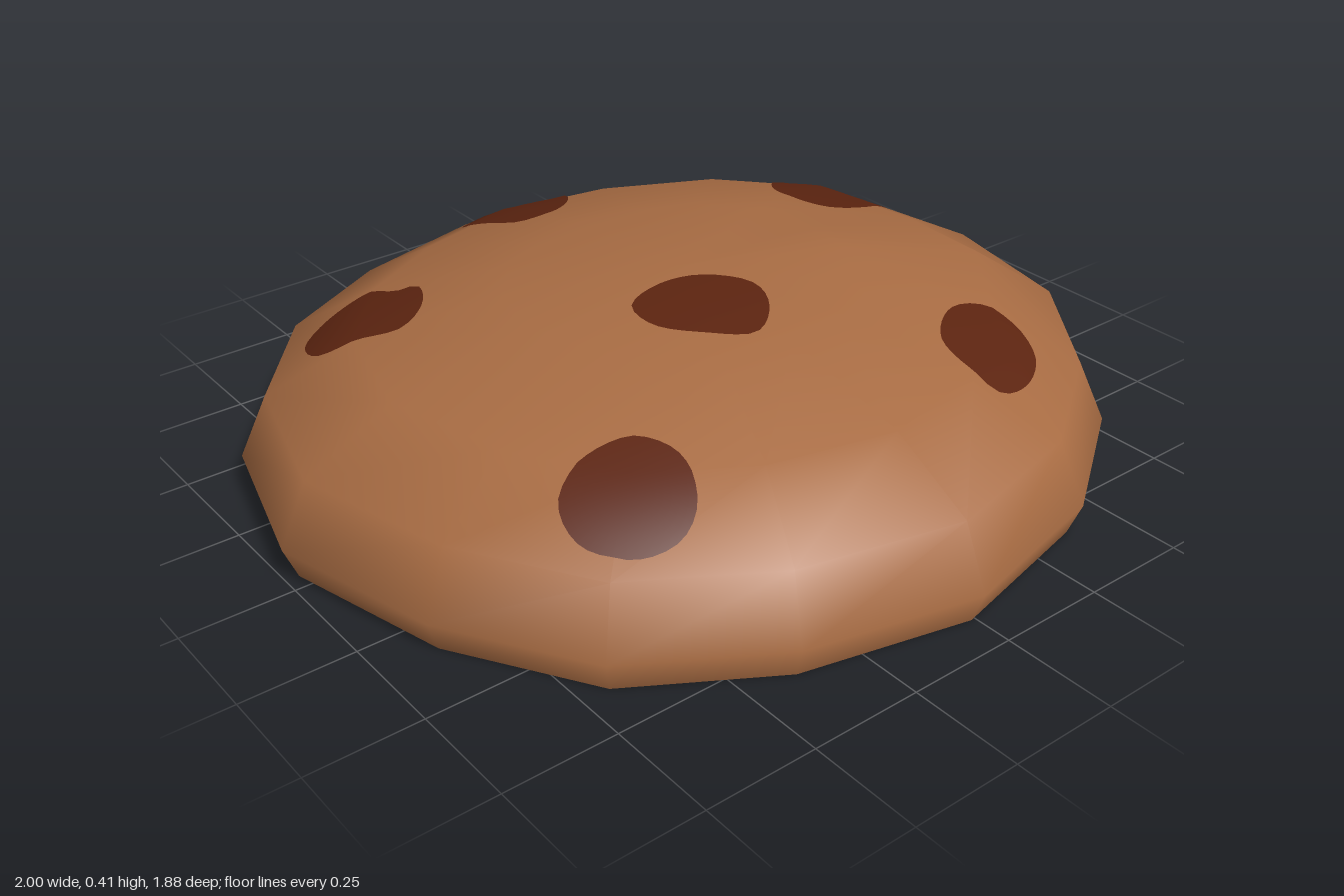
import * as THREE from 'three';

// rim corners, clockwise seen from above
const RIM = [
  [-0.03, -0.94], [0.34, -0.88], [0.69, -0.71], [0.94, -0.43],
  [1, -0.04], [0.92, 0.34], [0.69, 0.64], [0.38, 0.85],
  [-0.01, 0.94], [-0.4, 0.85], [-0.71, 0.66], [-0.9, 0.35],
  [-1, -0.04], [-0.9, -0.42], [-0.68, -0.69], [-0.38, -0.85],
];
// [scale of rim, height] from base to crown
const PROFILE = [[0.97, 0], [1, 0.075], [0.935, 0.215], [0.73, 0.32], [0.4, 0.39]];
const CENTRE_Z = -0.03;

// chip outlines as [x, z], clockwise seen from above
const CHIPS = [
  [[0, -0.79], [0.1, -0.76], [0.135, -0.7], [0.14, -0.66], [0.085, -0.585], [0.005, -0.54], [-0.075, -0.55], [-0.11, -0.62], [-0.14, -0.68], [-0.095, -0.77]],
  [[-0.61, -0.527], [-0.52, -0.51], [-0.48, -0.44], [-0.44, -0.42], [-0.48, -0.325], [-0.567, -0.265], [-0.635, -0.3], [-0.715, -0.375], [-0.695, -0.48]],
  [[0.647, -0.43], [0.73, -0.4], [0.75, -0.27], [0.78, -0.16], [0.695, -0.13], [0.567, -0.15], [0.53, -0.24], [0.555, -0.345]],
  [[-0.085, 0.013], [0.02, 0.04], [0.085, 0.12], [0.06, 0.21], [-0.05, 0.297], [-0.14, 0.23], [-0.2, 0.147], [-0.187, 0.05]],
  [[-0.545, 0.382], [-0.45, 0.4], [-0.406, 0.48], [-0.44, 0.59], [-0.513, 0.633], [-0.61, 0.607], [-0.663, 0.52], [-0.64, 0.42]],
  [[0.43, 0.4], [0.503, 0.414], [0.54, 0.49], [0.513, 0.575], [0.395, 0.655], [0.3, 0.665], [0.283, 0.607], [0.305, 0.49]],
];

function meshData(positions, index) {
  const g = new THREE.BufferGeometry();
  g.setAttribute('position', new THREE.Float32BufferAttribute(positions, 3));
  g.setIndex(index);
  g.computeVertexNormals();
  return g;
}

// stacked rim rings closed by an apex, with one uneven lump on the left
function domeGeometry() {
  const n = RIM.length, pos = [], idx = [];
  PROFILE.forEach(([s, y], i) => RIM.forEach(([x, z], j) => {
    const lump = j === 5 ? [0, 0, 0, 0.03, 0.015][i] : 0;
    pos.push(x * s, y + lump, CENTRE_Z * (1 - s) + z * s);
  }));
  const apex = pos.length / 3;
  pos.push(0, 0.41, CENTRE_Z);
  for (let i = 0; i < PROFILE.length; i++) {
    for (let j = 0; j < n; j++) {
      const a = i * n + j, b = i * n + (j + 1) % n;
      if (i === PROFILE.length - 1) idx.push(a, apex, b);
      else idx.push(a, a + n, b, b, a + n, b + n);
    }
  }
  return meshData(pos, idx);
}

function baseGeometry() {
  const n = RIM.length, s = PROFILE[0][0], pos = [0, 0, CENTRE_Z], idx = [];
  RIM.forEach(([x, z], j) => {
    pos.push(x * s, 0, CENTRE_Z * (1 - s) + z * s);
    idx.push(0, 1 + j, 1 + (j + 1) % n);
  });
  return meshData(pos, idx);
}

// thin patch draped over the dome, sharing its smooth normals
function chipGeometry(outline, dome) {
  const SEG = 32, RINGS = 8, LIFT = 0.004;
  const curve = new THREE.CatmullRomCurve3(outline.map(([x, z]) => new THREE.Vector3(x, 0, z)), true);
  const edge = curve.getSpacedPoints(SEG).slice(0, SEG);
  const mid = edge.reduce((sum, p) => sum.add(p), new THREE.Vector3()).divideScalar(SEG);
  const ray = new THREE.Raycaster();
  const down = new THREE.Vector3(0, -1, 0);
  const pos = [], nor = [], idx = [];
  const drape = (p) => {
    ray.set(new THREE.Vector3(p.x, 2, p.z), down);
    const hit = ray.intersectObject(dome)[0];
    const normal = hit.normal.clone().normalize();
    pos.push(p.x, hit.point.y + LIFT, p.z);
    nor.push(normal.x, normal.y, normal.z);
  };
  drape(mid);
  for (let r = 1; r <= RINGS; r++) {
    for (let j = 0; j < SEG; j++) {
      drape(mid.clone().lerp(edge[j], r / RINGS));
      const a = 1 + (r - 1) * SEG + j, b = 1 + (r - 1) * SEG + (j + 1) % SEG;
      if (r === 1) idx.push(0, b, a);
      else idx.push(a, a - SEG, b, b, a - SEG, b - SEG);
    }
  }
  const g = meshData(pos, idx);
  g.setAttribute('normal', new THREE.Float32BufferAttribute(nor, 3));
  return g;
}

export function createModel() {
  const dough = new THREE.MeshStandardMaterial({ color: 0xa86c43 });
  dough.name = 'dough';
  const chocolate = new THREE.MeshStandardMaterial({ color: 0x5c2410 });
  chocolate.name = 'chocolate';

  const group = new THREE.Group();
  group.name = 'cookie';
  const add = (name, geometry, material) => {
    const mesh = new THREE.Mesh(geometry, material);
    mesh.name = name;
    group.add(mesh);
    return mesh;
  };

  const dome = add('cookieTop', domeGeometry(), dough);
  dome.updateMatrixWorld();
  add('cookieBase', baseGeometry(), dough);
  CHIPS.forEach((outline, i) => add(`chocolateChip${i + 1}`, chipGeometry(outline, dome), chocolate));
  return group;
}
